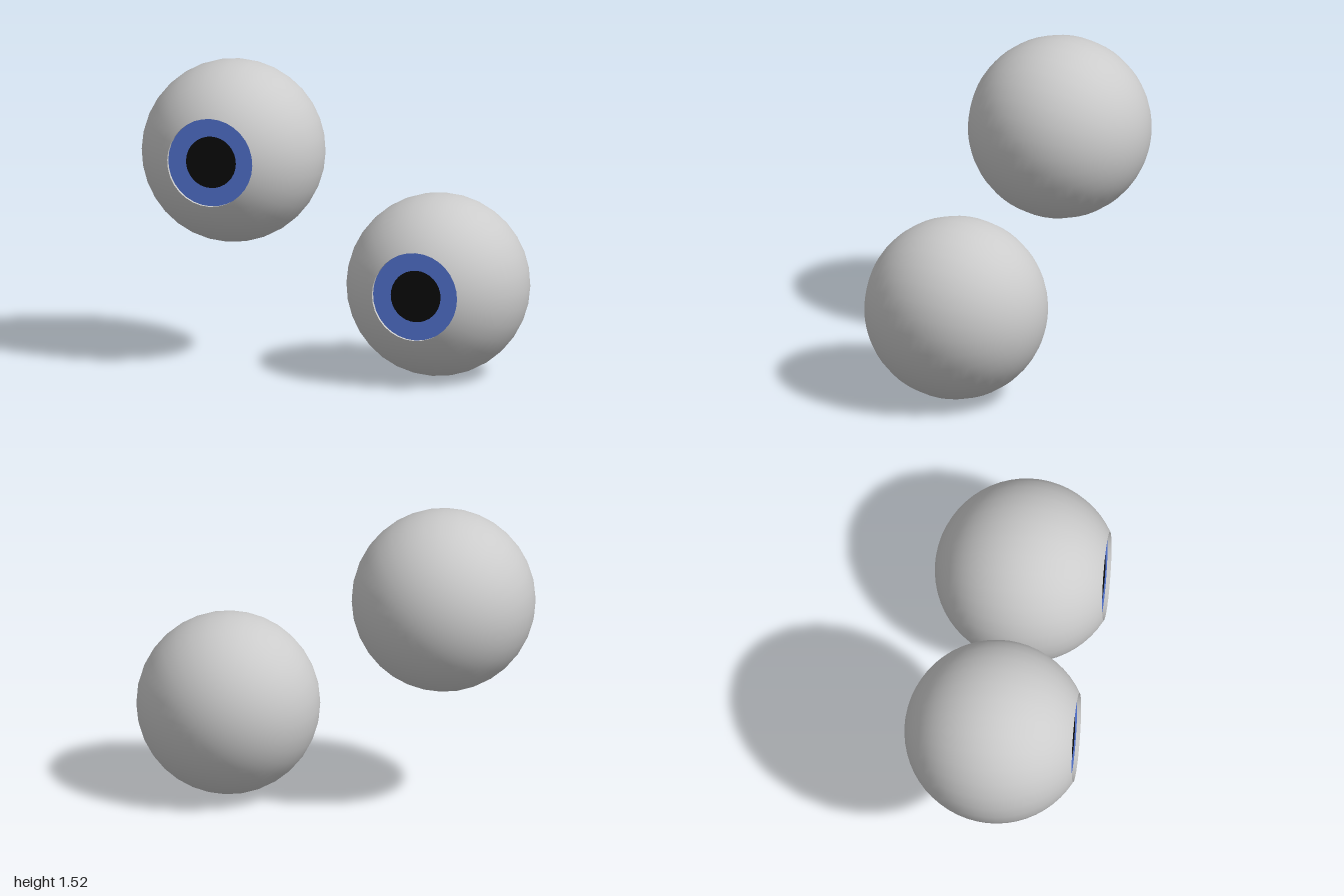
import * as THREE from 'three';

const R = 0.458;          // eyeball radius
const OPENING = 0.222;    // radius of the flat front opening
const RECESS = 0.02;      // depth of the iris behind the rim
const PUPIL = 0.13;

const mat = (color, side = THREE.FrontSide) => new THREE.MeshStandardMaterial({ color, side });

function part(name, geometry, material, z = 0) {
  const mesh = new THREE.Mesh(geometry, material);
  mesh.name = name;
  mesh.position.z = z;
  return mesh;
}

function createEye(name, mats) {
  const eye = new THREE.Group();
  eye.name = name;
  const cut = Math.asin(OPENING / R);
  const rimZ = R * Math.cos(cut);

  // Ball with its front cap cut away, pole turned to +z
  const ball = new THREE.SphereGeometry(R, 32, 24, 0, Math.PI * 2, cut, Math.PI - cut).rotateX(Math.PI / 2);
  // Short inner wall from the rim back to the iris
  const wall = new THREE.CylinderGeometry(OPENING, OPENING, RECESS, 32, 1, true).rotateX(Math.PI / 2);

  eye.add(
    part('eyeball', ball, mats.white),
    part('irisRim', wall, mats.rim, rimZ - RECESS / 2),
    part('iris', new THREE.RingGeometry(PUPIL, OPENING, 32), mats.iris, rimZ - RECESS),
    part('pupil', new THREE.CircleGeometry(PUPIL, 32), mats.pupil, rimZ - RECESS)
  );

  // Gaze turned slightly up and toward +x
  const gaze = new THREE.Vector3(0.045, 0.05, 1).normalize();
  eye.quaternion.setFromUnitVectors(new THREE.Vector3(0, 0, 1), gaze);
  return eye;
}

export function createModel() {
  const model = new THREE.Group();
  model.name = 'eyes';
  const mats = {
    white: mat(0xcccccc),
    rim: mat(0xcccccc, THREE.DoubleSide),
    iris: mat(0x5578d8),
    pupil: mat(0x0c0c0c),
  };

  // Two eyes, the right one set higher
  for (const [name, x, y] of [['rightEye', -0.542, 1.06], ['leftEye', 0.542, 0.459]]) {
    const eye = createEye(name, mats);
    eye.position.set(x, y, 0.02);
    model.add(eye);
  }
  return model;
}
